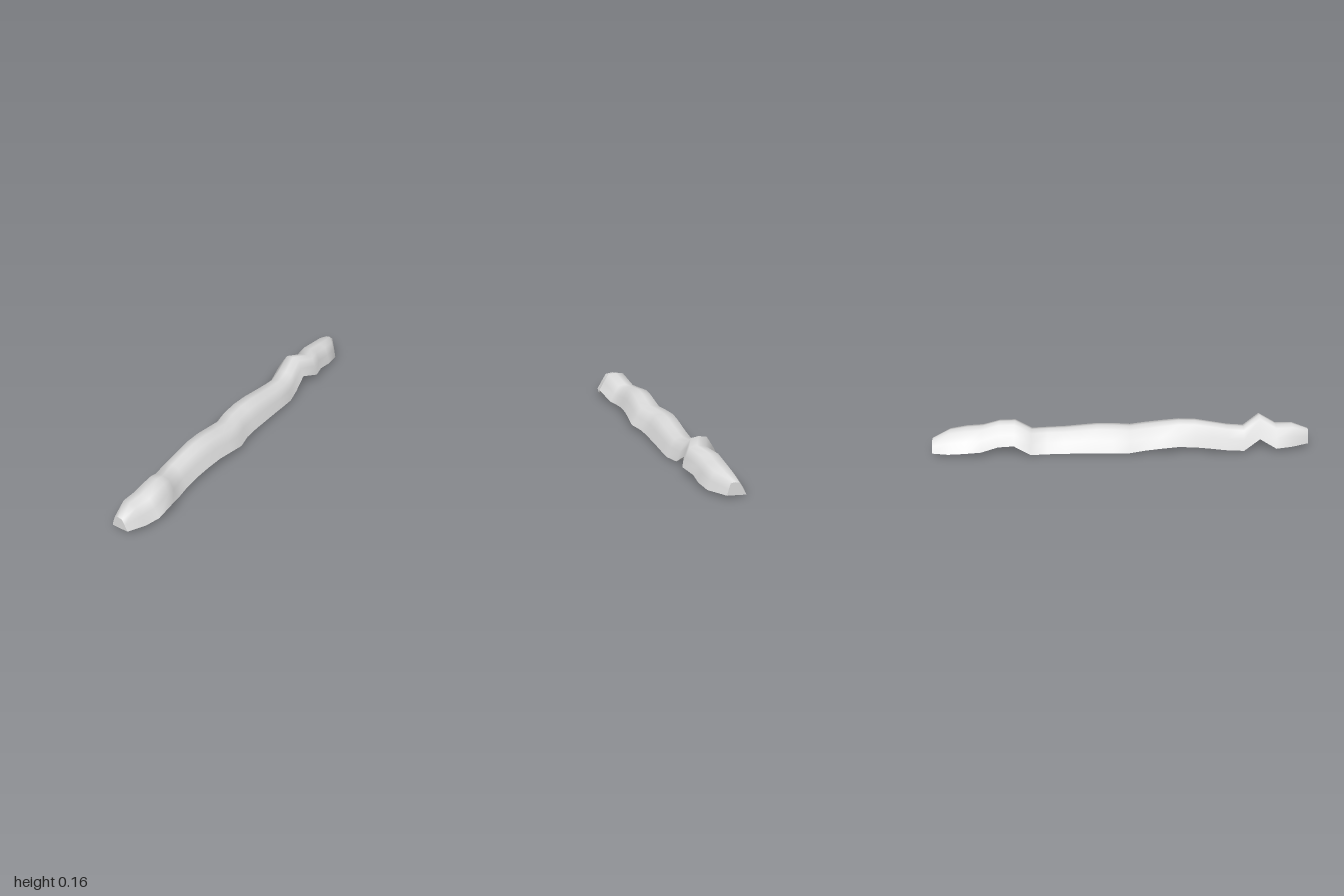
import * as THREE from 'three';

// Evenly spaced stations from x = -1 to 1: [top y, bottom y, front z, back z]
const stations = [
  [0.09, 0.025, 0.085, -0.01], [0.12, 0.023, 0.125, -0.05], [0.117, 0.015, 0.135, -0.06],
  [0.162, 0.06, 0.152, -0.038], [0.11, 0.009, 0.108, -0.075], [0.12, 0.015, 0.095, -0.083],
  [0.135, 0.025, 0.093, -0.085], [0.148, 0.035, 0.098, -0.09], [0.148, 0.038, 0.102, -0.093],
  [0.137, 0.03, 0.107, -0.097], [0.125, 0.021, 0.111, -0.102], [0.122, 0.016, 0.085, -0.127],
  [0.129, 0.016, 0.079, -0.13], [0.129, 0.015, 0.077, -0.127], [0.12, 0.013, 0.074, -0.123],
  [0.111, 0.008, 0.07, -0.12], [0.107, 0.004, 0.065, -0.116], [0.11, 0.008, 0.042, -0.137],
  [0.162, 0.06, 0.03, -0.142], [0.145, 0.04, 0.065, -0.11], [0.131, 0.027, 0.037, -0.15],
  [0.123, 0.02, 0.04, -0.152], [0.11, 0.014, 0.025, -0.15], [0.075, 0.012, -0.04, -0.133],
];

// Cross-sections as [side, height]: the outer arch from front foot to back foot,
// and the shallow hollow underneath running the other way
const arch = [[1, 0.02], [0.75, 0.48], [0.48, 0.93], [0.02, 1], [-0.46, 0.93], [-0.74, 0.47], [-1, -0.04]];
const hollow = [[-1, -0.04], [0, 0.22], [1, 0.02]];

// Places a cross-section at every station, the crown leaning forward towards +x
function rings(section) {
  return stations.map(([top, bottom, front, back], i) => {
    const x = -1 + (2 * i) / (stations.length - 1);
    const mid = (front + back) / 2, half = (front - back) / 2;
    const lean = 0.04 + 0.15 * x;
    return section.map(([s, h]) => [x, bottom + h * (top - bottom), mid + (s + lean * h) * half]);
  });
}

// Joins the sections into a smooth strip
function loft(sections) {
  const n = sections[0].length, index = [];
  for (let i = 0; i < sections.length - 1; i++) {
    for (let j = 0; j < n - 1; j++) {
      const a = i * n + j, b = a + n;
      index.push(a, b, b + 1, a, b + 1, a + 1);
    }
  }
  return build(sections.flat(), index);
}

// Fan closing one end
function cap(points) {
  const index = [];
  for (let j = 1; j < points.length - 1; j++) index.push(0, j, j + 1);
  return build(points, index);
}

function build(points, index) {
  const geometry = new THREE.BufferGeometry();
  geometry.setAttribute('position', new THREE.Float32BufferAttribute(points.flat(), 3));
  geometry.setIndex(index);
  geometry.computeVertexNormals();
  return geometry;
}

export function createModel() {
  const group = new THREE.Group();
  group.name = 'windingRidge';
  const paleGrey = new THREE.MeshStandardMaterial({ color: 0xdcdcdc });
  paleGrey.name = 'paleGrey';

  const add = (name, geometry) => {
    const mesh = new THREE.Mesh(geometry, paleGrey);
    mesh.name = name;
    group.add(mesh);
  };

  const arches = rings(arch);
  add('ridgeBody', loft(arches));
  add('underside', loft(rings(hollow)));
  add('rightEnd', cap(arches[0]));
  add('leftEnd', cap(arches[arches.length - 1].reverse()));
  return group;
}
